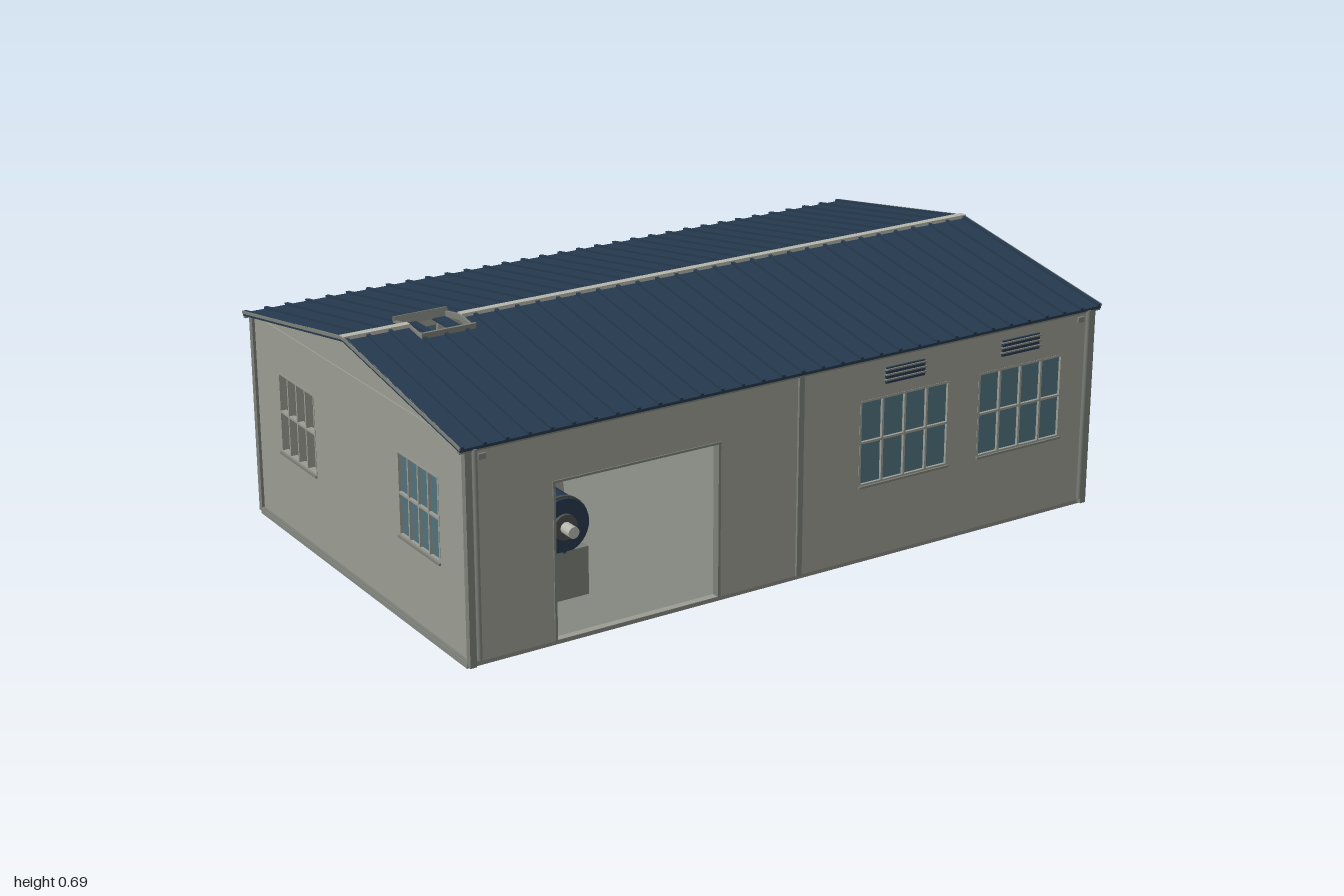
import * as THREE from 'three';

const mat = (name, color) => {
  const m = new THREE.MeshStandardMaterial({ color });
  m.name = name;
  return m;
};

export function createModel() {
  const wallMat = mat('wall grey', 0x9a9c92);
  const trimMat = mat('trim grey', 0x7c7f78);
  const blue = mat('roof blue', 0x25394d);
  const glass = mat('window glass', 0x4f727e);
  const floorMat = mat('floor grey', 0x858780);
  const steel = mat('light steel', 0xb4b5aa);
  const dark = mat('dark grey', 0x4a4d4a);

  const model = new THREE.Group();
  model.name = 'pumpHouse';

  const add = (parent, name, geo, m, x = 0, y = 0, z = 0) => {
    const mesh = new THREE.Mesh(geo, m);
    mesh.name = name;
    mesh.position.set(x, y, z);
    parent.add(mesh);
    return mesh;
  };
  // box given by its lower and upper limits on each axis
  const box = (parent, name, m, x0, x1, y0, y1, z0, z1) =>
    add(parent, name, new THREE.BoxGeometry(x1 - x0, y1 - y0, z1 - z0), m,
      (x0 + x1) / 2, (y0 + y1) / 2, (z0 + z1) / 2);
  const poly = (pts) => new THREE.Shape(pts.map(([x, y]) => new THREE.Vector2(x, y)));
  const rect = (x0, x1, y0, y1) => poly([[x0, y0], [x1, y0], [x1, y1], [x0, y1]]);
  const extrude = (shape, depth) => new THREE.ExtrudeGeometry(shape, { depth, bevelEnabled: false });

  const X = 0.975, Z = 0.598, FLOOR = 0.015, EAVE = 0.58, RIDGE = 0.68, T = 0.02;

  // Window set in a wall whose outer face is local z = 0
  const addWindow = (wall, [x0, x1, y0, y1], glazed = true) => {
    const w = new THREE.Group();
    w.name = 'window';
    wall.add(w);
    if (glazed) box(w, 'glass', glass, x0, x1, y0, y1, -0.013, -0.007);
    const b = 0.003;
    for (let i = 0; i <= 4; i++) {
      const x = x0 + (x1 - x0) * i / 4;
      box(w, 'mullion', wallMat, x - b, x + b, y0, y1, -0.016, 0.001);
    }
    for (const y of [y0, (y0 + y1) / 2 + 0.002, y1])
      box(w, 'glazingBar', wallMat, x0, x1, y - b, y + b, -0.016, 0.001);
    box(w, 'sill', trimMat, x0 - 0.004, x1 + 0.004, y0 - 0.008, y0 - 0.002, -0.01, 0.006);
  };

  // Wall with openings; holes are [x0, x1, y0, y1] in the wall's own frame
  const addWall = (name, half, windows, openings = []) => {
    const wall = new THREE.Group();
    wall.name = name;
    const shape = rect(-half, half, FLOOR, EAVE);
    for (const h of [...windows, ...openings]) shape.holes.push(rect(...h));
    add(wall, 'wallPanel', extrude(shape, T), wallMat, 0, 0, -T);
    model.add(wall);
    return wall;
  };

  // Foundation and floor
  box(model, 'foundation', floorMat, -0.985, 0.985, 0, FLOOR, -0.59, 0.59);

  // Front wall with doorway
  const frontWindows = [[0.195, 0.485, 0.225, 0.46], [0.59, 0.875, 0.225, 0.46]];
  const front = addWall('frontWall', X, frontWindows, [[-0.735, -0.25, 0.016, 0.44]]);
  front.position.z = Z;
  frontWindows.forEach((w) => addWindow(front, w));
  box(front, 'doorFrame', trimMat, -0.739, -0.732, FLOOR, 0.444, -0.021, 0.003);
  box(front, 'doorFrame', trimMat, -0.253, -0.246, FLOOR, 0.444, -0.021, 0.003);
  box(front, 'doorFrame', trimMat, -0.739, -0.246, 0.438, 0.444, -0.021, 0.003);
  box(front, 'centreStrip', trimMat, -0.008, 0.008, FLOOR, 0.57, 0, 0.007);

  // Louvred vents
  for (const x of [0.335, 0.725]) {
    box(front, 'ventBack', blue, x - 0.064, x + 0.064, 0.498, 0.542, 0, 0.006);
    for (let i = 0; i < 3; i++)
      box(front, 'ventLouvre', trimMat, x - 0.066, x + 0.066, 0.507 + i * 0.014, 0.511 + i * 0.014, 0, 0.011);
  }
  for (const x of [-0.935, 0.935]) box(front, 'bracket', trimMat, x - 0.01, x + 0.01, 0.545, 0.56, 0, 0.006);

  // Back wall: local x runs the other way after turning
  const backWindows = [[-0.885, -0.59], [-0.49, -0.2], [-0.13, 0.175], [0.42, 0.73]]
    .map(([a, b]) => [a, b, 0.225, 0.455]);
  const back = addWall('backWall', X, backWindows);
  back.position.z = -Z;
  back.rotation.y = Math.PI;
  backWindows.forEach((w) => addWindow(back, w));

  // Gable walls; one window on the right gable end stands open
  const gableWindows = [[-0.448, -0.238, 0.23, 0.455], [0.238, 0.448, 0.23, 0.455]];
  for (const s of [1, -1]) {
    const gable = addWall(s > 0 ? 'leftGable' : 'rightGable', Z, gableWindows);
    gable.position.x = s * X;
    gable.rotation.y = s * Math.PI / 2;
    gableWindows.forEach((w, i) => addWindow(gable, w, s > 0 || i === 1));
    add(gable, 'gableTop', extrude(poly([[-Z, EAVE], [Z, EAVE], [0, RIDGE]]), 0.016), wallMat, 0, 0, -0.02);
    box(gable, 'plinth', trimMat, -0.59, 0.59, 0.006, 0.018, -0.01, 0.008);
  }

  // Corner strips and downpipes
  for (const sx of [1, -1]) for (const sz of [1, -1]) {
    add(model, 'cornerPost', new THREE.BoxGeometry(0.018, 0.57, 0.018), trimMat, sx * 0.974, 0.29, sz * 0.596);
    add(model, 'downpipe', new THREE.CylinderGeometry(0.007, 0.007, 0.555, 8), trimMat, sx * 0.957, 0.3, sz * 0.606);
  }

  // Roof slopes in a tilted frame: local y runs downhill, local -z is outward
  const run = 0.61, drop = 0.102, tilt = Math.atan2(drop, run), len = Math.hypot(run, drop);
  const H0 = -0.81, H1 = -0.66, HS = 0.08;
  for (const s of [1, -1]) {
    const side = new THREE.Group();
    side.name = s > 0 ? 'frontRoof' : 'backRoof';
    side.rotation.y = s > 0 ? 0 : Math.PI;
    const slope = new THREE.Group();
    slope.name = 'slope';
    slope.position.y = 0.686;
    slope.rotation.x = Math.PI / 2 + tilt;
    side.add(slope);
    model.add(side);
    const [a, b] = s > 0 ? [H0, H1] : [-H1, -H0];
    add(slope, 'roofSheet', extrude(poly([[-0.998, 0], [a, 0], [a, HS], [b, HS], [b, 0],
      [0.998, 0], [0.998, len], [-0.998, len]]), 0.008), blue);
    // standing seams
    for (let i = 0; i <= 32; i++) {
      const x = -0.992 + i * 0.062;
      const s0 = x > a - 0.006 && x < b + 0.006 ? HS : 0;
      box(slope, 'seam', blue, x - 0.005, x + 0.005, s0, len, -0.006, 0.002);
    }
    // verge trims, eave edge and opening kerb
    for (const e of [-1, 1])
      add(slope, 'vergeTrim', new THREE.BoxGeometry(0.006, len, 0.008), trimMat, e * 0.997, len / 2, -0.002);
    box(slope, 'eaveTrim', trimMat, -0.998, 0.998, len - 0.012, len - 0.002, 0.007, 0.014);
    box(slope, 'kerb', trimMat, a - 0.004, b + 0.004, HS - 0.006, HS, -0.016, 0.01);
    for (const x of [a, b]) box(slope, 'kerb', trimMat, x - 0.004, x + 0.004, 0, HS, -0.005, 0.01);
  }
  // Ridge cap, interrupted at the opening
  for (const [a, b] of [[-1, H0], [H1, 1]]) box(model, 'ridgeCap', steel, a, b, 0.683, 0.694, -0.011, 0.011);
  // Bars across the roof opening
  box(model, 'openingBar', trimMat, -0.81, -0.785, 0.66, 0.668, -0.08, 0.08);
  box(model, 'openingBar', blue, -0.77, -0.75, 0.66, 0.668, -0.08, 0.08);
  box(model, 'openingBar', blue, -0.70, -0.665, 0.66, 0.666, -0.08, 0.08);

  // Pump set inside the doorway, its axis along z
  const pump = new THREE.Group();
  pump.name = 'pump';
  pump.position.set(-0.592, 0.22, 0);
  model.add(pump);
  const drum = (name, r, z0, z1, m) => {
    const g = new THREE.CylinderGeometry(r, r, z1 - z0, 32).rotateX(Math.PI / 2);
    return add(pump, name, g, m, 0, 0, (z0 + z1) / 2);
  };
  drum('casing', 0.12, 0.14, 0.2, wallMat);
  drum('motor', 0.075, 0.2, 0.4, blue);
  drum('motorCollar', 0.079, 0.38, 0.39, dark);
  drum('hub', 0.035, 0.4, 0.41, dark);
  drum('shaft', 0.016, 0.4, 0.45, steel);
  drum('rearMotor', 0.075, -0.02, 0.14, blue);
  box(model, 'pedestal', trimMat, -0.67, -0.52, FLOOR, 0.15, 0.2, 0.4);
  box(model, 'basePlate', trimMat, -0.74, -0.42, FLOOR, 0.075, -0.05, 0.18);
  box(model, 'post', dark, -0.405, -0.4, FLOOR, 0.12, 0.1, 0.105);
  // Low rail beside the pump
  for (const y of [0.06, 0.12]) box(model, 'rail', steel, -0.745, -0.738, y, y + 0.008, 0.1, 0.5);
  for (const z of [0.1, 0.3, 0.49]) box(model, 'railPost', steel, -0.745, -0.738, FLOOR, 0.128, z, z + 0.008);

  return model;
}
